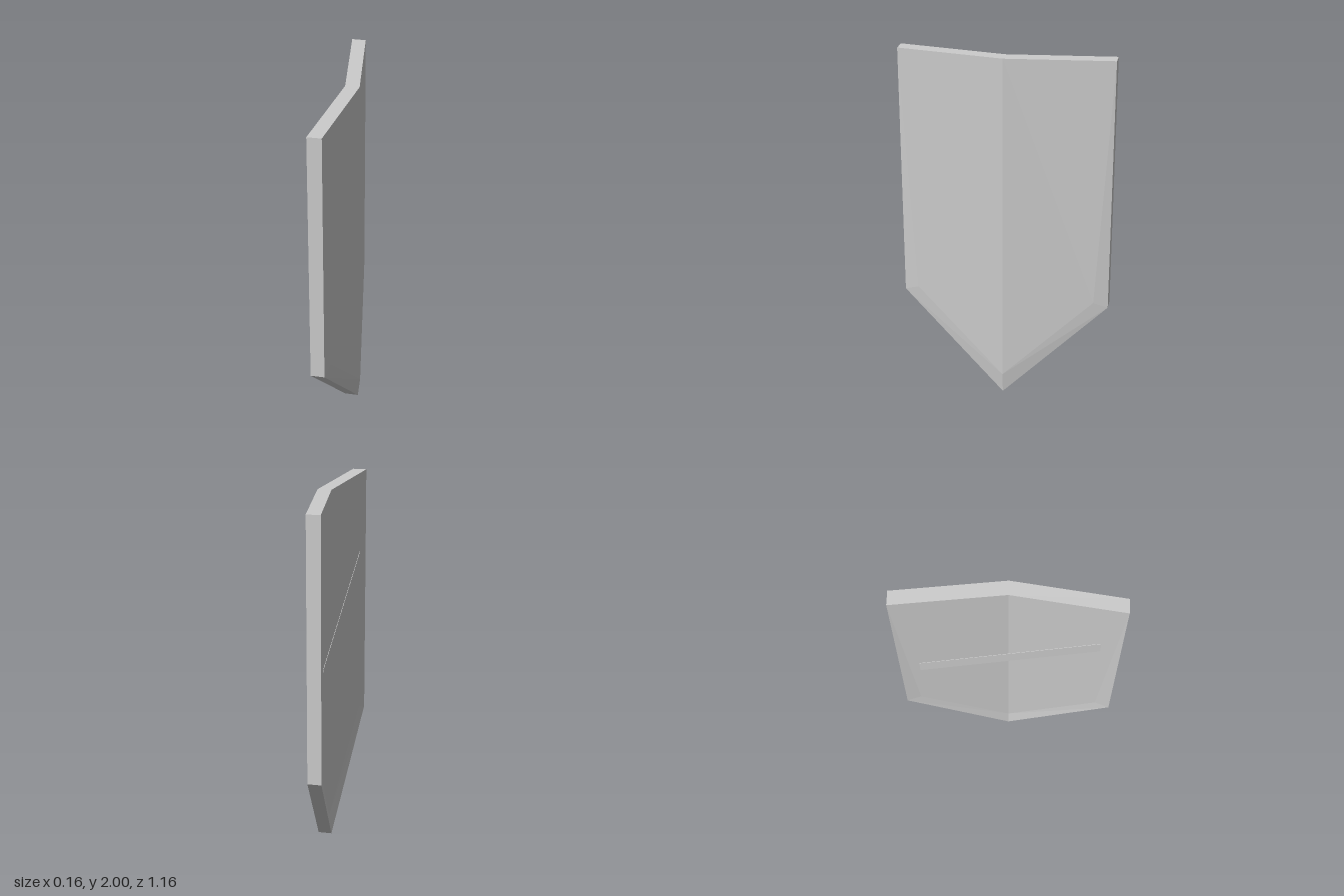
import * as THREE from 'three';

export function createModel() {
  const group = new THREE.Group();
  group.name = 'shield';
  const material = new THREE.MeshStandardMaterial({ color: 0xcccccc, flatShading: true });

  // Half of the domed face: top ridge, top corner, side corner, tip, raised lower ridge, raised side
  const P = {
    ridge: [0.067, 2, 0],
    top: [-0.007, 2, 0.58],
    side: [-0.007, 0.57, 0.58],
    tip: [0.067, 0, 0],
    peak: [0.08, 0.12, 0],
    inset: [0.01, 0.6, 0.5],
  };
  const thickness = 0.075;
  const faces = [
    ['ridge', 'top', 'inset'], ['ridge', 'inset', 'peak'],
    ['top', 'side', 'inset'], ['side', 'tip', 'peak'], ['side', 'peak', 'inset'],
  ];
  const outline = ['ridge', 'top', 'side', 'tip'];

  const positions = [];
  for (const mirror of [1, -1]) {
    const outer = (n) => [P[n][0], P[n][1], P[n][2] * mirror];
    const inner = (n) => [P[n][0] - thickness, P[n][1], P[n][2] * mirror];
    const tri = (a, b, c) => positions.push(...a, ...(mirror > 0 ? b : c), ...(mirror > 0 ? c : b));
    // Outer and inner skins
    for (const [a, b, c] of faces) {
      tri(outer(a), outer(b), outer(c));
      tri(inner(a), inner(c), inner(b));
    }
    // Rim
    for (let i = 0; i < outline.length - 1; i++) {
      const a = outline[i], b = outline[i + 1];
      tri(outer(b), outer(a), inner(a));
      tri(outer(b), inner(a), inner(b));
    }
  }
  const bodyGeometry = new THREE.BufferGeometry();
  bodyGeometry.setAttribute('position', new THREE.Float32BufferAttribute(positions, 3));
  bodyGeometry.computeVertexNormals();
  const body = new THREE.Mesh(bodyGeometry, material);
  body.name = 'shieldBody';
  group.add(body);

  // Thin diagonal arm strap across the hollow side, sheared so its ends stay upright
  const strapGeometry = new THREE.BoxGeometry(0.002, 0.105, 0.95);
  const pos = strapGeometry.attributes.position;
  for (let i = 0; i < pos.count; i++) pos.setY(i, pos.getY(i) + 0.4 * pos.getZ(i));
  strapGeometry.computeVertexNormals();
  const strap = new THREE.Mesh(strapGeometry, material);
  strap.name = 'armStrap';
  strap.position.set(-0.07, 1.31, 0);
  group.add(strap);

  return group;
}
